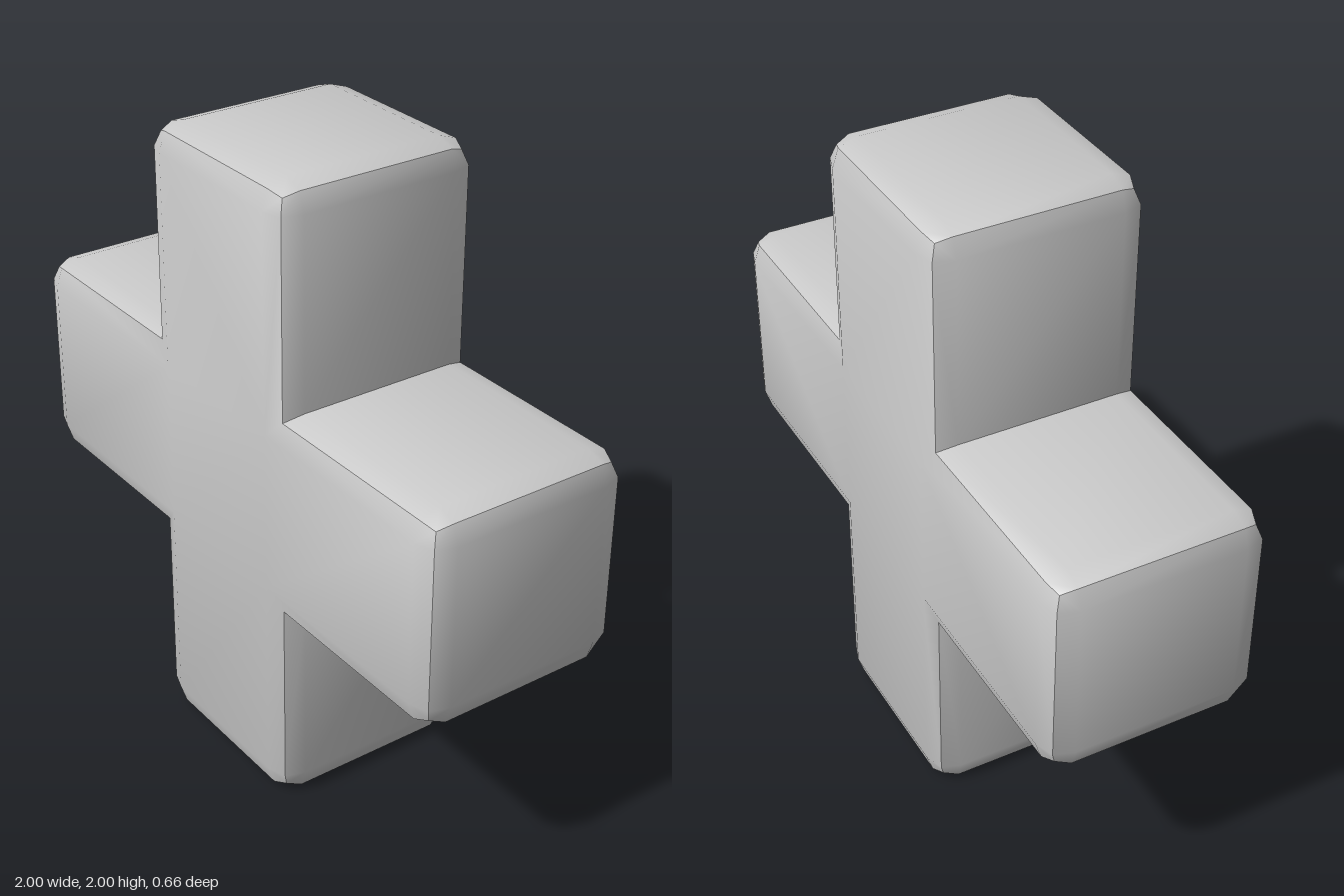
import * as THREE from 'three';
import { toCreasedNormals } from 'three/addons/utils/BufferGeometryUtils.js';

const L = 1;       // arm length from the centre
const W = 0.332;   // half width of an arm
const R = 0.08;    // where the bevel starts on each face
const M = 0.02;    // inset of the bevel ridge
const Q = 0.035;   // inset of the tip corners

// One closed outline of the cross: d = inset of its edges, e = inset of its tip corners
function ring(d, e, z, ze) {
  const arm = [
    [W - d, -(W - d), z],
    [L - R, -(W - d), z], [L - e, -(W - e), ze], [L - d, -(W - R), z],
    [L - d, W - R, z], [L - e, W - e, ze], [L - R, W - d, z],
  ];
  const points = [];
  for (let k = 0; k < 4; k++) {
    const c = [1, 0, -1, 0][k], s = [0, 1, 0, -1][k];
    for (const [x, y, h] of arm) points.push([x * c - y * s, x * s + y * c, h]);
  }
  return points;
}

function crossGeometry() {
  // Outlines from the front face to the back face
  const front = [
    ring(R, R, W, W),
    ring(M, Q, W - M, W - Q),
    ring(0, M, W - R, W - R),
  ];
  const back = front.map((r) => r.map(([x, y, z]) => [x, y, -z])).reverse();
  const rings = [...front, ...back];
  const pos = [];
  const tri = (a, b, c) => {
    const [A, B, C] = [a, b, c].map((p) => new THREE.Vector3(...p));
    if (new THREE.Triangle(A, B, C).getArea() > 1e-8) pos.push(...a, ...b, ...c);
  };

  // Bevels and sides
  for (let l = 0; l < rings.length - 1; l++) {
    const f = rings[l], b = rings[l + 1], n = f.length;
    for (let i = 0; i < n; i++) {
      const j = (i + 1) % n;
      if (l < 3) {
        tri(f[i], b[i], b[j]);
        tri(f[i], b[j], f[j]);
      } else {
        tri(f[i], b[i], f[j]);
        tri(b[i], b[j], f[j]);
      }
    }
  }

  // Flat front and back faces
  const pick = (r) => r.filter((p, i) => [0, 2, 5].includes(i % 7));
  const capF = pick(rings[0]), capB = pick(rings[rings.length - 1]);
  const outline = capF.map(([x, y]) => new THREE.Vector2(x, y));
  for (const [a, b, c] of THREE.ShapeUtils.triangulateShape(outline, [])) {
    tri(capF[a], capF[b], capF[c]);
    tri(capB[a], capB[c], capB[b]);
  }

  const geometry = new THREE.BufferGeometry();
  geometry.setAttribute('position', new THREE.Float32BufferAttribute(pos, 3));
  return toCreasedNormals(geometry, 0.62);
}

export function createModel() {
  const group = new THREE.Group();
  group.name = 'plusBlock';
  const body = new THREE.Mesh(crossGeometry(), new THREE.MeshStandardMaterial({ color: 0xcccccc }));
  body.name = 'crossBody';
  body.position.y = L;
  group.add(body);
  return group;
}
